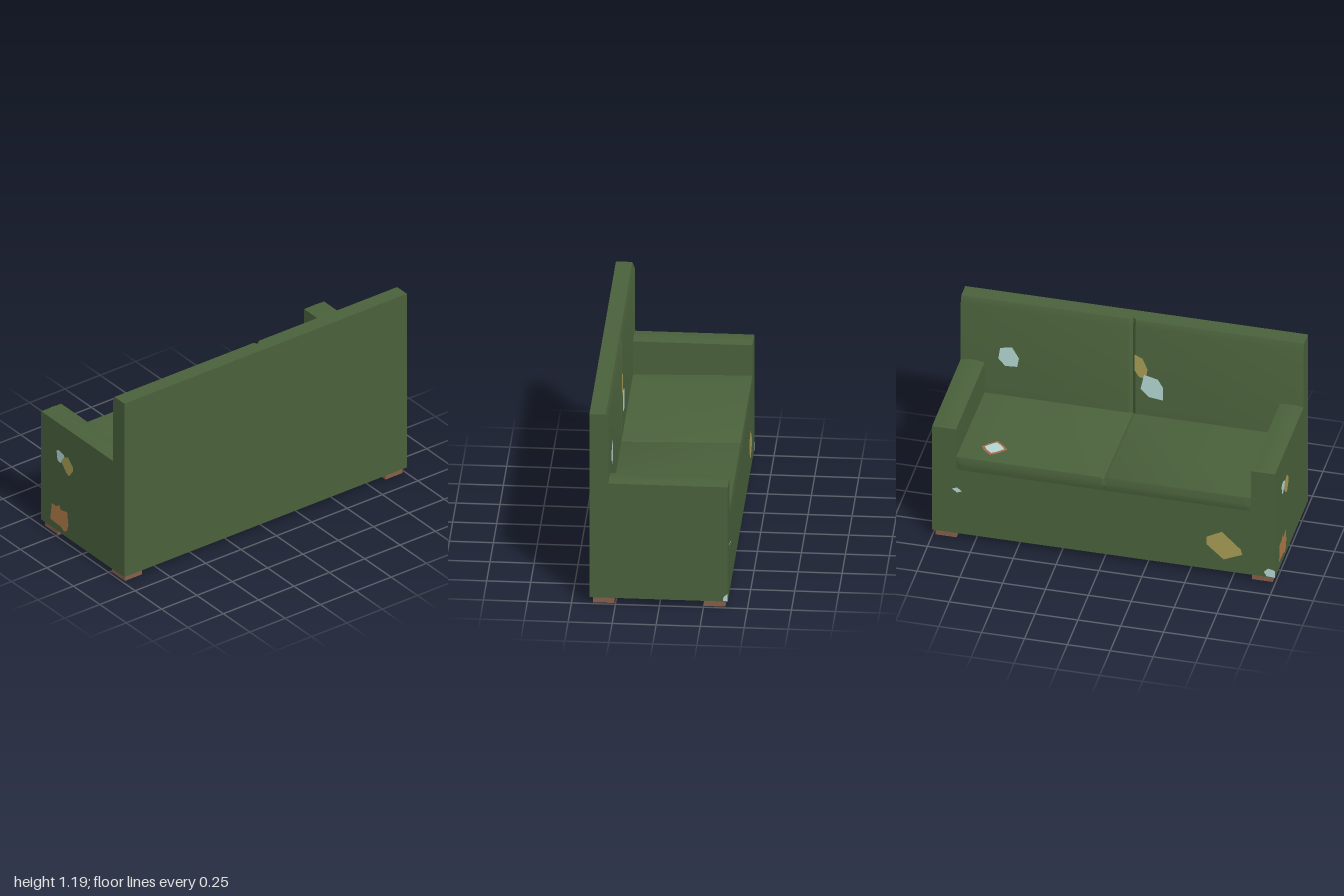
import * as THREE from 'three';
import { toCreasedNormals } from 'three/addons/utils/BufferGeometryUtils.js';

const material = (name, color) => {
  const m = new THREE.MeshStandardMaterial({ color });
  m.name = name;
  return m;
};

// Solid from convex (x, y) outlines, counter-clockwise, placed along z
function loft(stations, outlineAt) {
  const rings = stations.map(z => outlineAt(z).map(([x, y]) => [x, y, z]));
  const pos = [];
  const tri = (...corners) => corners.forEach(c => pos.push(...c));
  const n = rings[0].length;
  for (let i = 0; i < rings.length - 1; i++) {
    for (let j = 0; j < n; j++) {
      const k = (j + 1) % n;
      tri(rings[i][j], rings[i][k], rings[i + 1][k]);
      tri(rings[i][j], rings[i + 1][k], rings[i + 1][j]);
    }
  }
  const first = rings[0], last = rings[rings.length - 1];
  for (let j = 1; j < n - 1; j++) {
    tri(first[0], first[j + 1], first[j]);
    tri(last[0], last[j], last[j + 1]);
  }
  const g = new THREE.BufferGeometry();
  g.setAttribute('position', new THREE.Float32BufferAttribute(pos, 3));
  return toCreasedNormals(g, 0.5);
}

export function createModel() {
  const group = new THREE.Group();
  const green = material('greenFabric', 0x4a613b);
  const wood = material('brownWood', 0x865f49);
  const pale = material('palePatch', 0xb4d8d4);
  const ochre = material('ochrePatch', 0xa89c55);
  const orange = material('orangePatch', 0xb07a48);
  const rust = material('rustPatch', 0xa5694d);
  for (const m of [pale, ochre, orange, rust]) m.side = THREE.DoubleSide;

  const add = (name, geometry, mat) => {
    const mesh = new THREE.Mesh(geometry, mat);
    mesh.name = name;
    group.add(mesh);
    return mesh;
  };
  const front = -0.388, rear = 0.398, backFront = 0.29;

  // Base under the cushions
  add('base', new THREE.BoxGeometry(backFront - front, 0.44, 1.72)
    .translate((front + backFront) / 2, 0.26, 0), green);

  // Tall backrest with a bevelled top and a groove between its halves
  add('backrest', loft([-1, -0.02, 0, 0.02, 1], z => {
    const d = z === 0 ? 0.02 : 0;
    return [[backFront + d, 0.04], [rear, 0.04], [rear, 1.19],
      [0.305 + d, 1.19], [backFront + d, 1.15]];
  }), green);

  // Two seat cushions with a bulging front lip
  for (const s of [-1, 1]) {
    const stations = [0, 0.02, 0.83, 0.86].map(z => z * s).sort((a, b) => a - b);
    add('seatCushion', loft(stations, z => {
      const a = Math.abs(z);
      const lip = a > 0.85 ? 0.001 : 0.01;
      const dip = a < 0.01 ? 0.01 : 0;
      return [[front, 0.48], [0.31, 0.48], [0.31, 0.55 - dip],
        [front, 0.568 - dip], [front - lip, 0.522]];
    }), green);
  }

  // Armrests with softly crowned tops
  for (const s of [-1, 1]) {
    const stations = [0.86, 0.9, 0.93, 0.96, 1].map(z => z * s).sort((a, b) => a - b);
    add('armrest', loft(stations, z => {
      const top = 0.767 - 0.009 * (Math.abs(Math.abs(z) - 0.93) / 0.07) ** 2;
      return [[front, 0.04], [backFront, 0.04], [backFront, top],
        [front + 0.01, top], [front, 0.757]];
    }), green);
  }

  // Low square feet
  for (const x of [-0.313, 0.319]) {
    for (const z of [-0.922, 0.922]) {
      add('foot', new THREE.BoxGeometry(0.122, 0.04, 0.122).translate(x, 0.02, z), wood);
    }
  }

  // Fabric patches: flat outlines laid just above each surface
  const patch = (name, points, mat, place) => {
    const shape = new THREE.Shape(points.map(p => new THREE.Vector2(...p)));
    const g = new THREE.ShapeGeometry(shape);
    place(g);
    g.computeVertexNormals();
    add(name, g, mat);
  };
  const onSide = (z, lift = 0) => g => g.translate(0, 0, z + lift);
  // Points are given as (z, y) on faces looking towards -x
  const onFront = x => g => g.scale(-1, 1, 1).rotateY(-Math.PI / 2).translate(x, 0, 0);
  const flip = g => {
    const idx = g.index.array;
    for (let i = 0; i < idx.length; i += 3) [idx[i], idx[i + 1]] = [idx[i + 1], idx[i]];
  };
  const facing = x => g => { flip(g); onFront(x)(g); };

  // Side of the left-hand armrest
  patch('sidePatchPale', [[-0.24, 0.57], [-0.22, 0.585], [-0.17, 0.572], [-0.155, 0.545],
    [-0.205, 0.505], [-0.232, 0.512]], pale, onSide(1, 0.002));
  patch('sidePatchOchre', [[-0.195, 0.523], [-0.165, 0.56], [-0.13, 0.58], [-0.08, 0.535],
    [-0.08, 0.51], [-0.12, 0.458], [-0.145, 0.468]], ochre, onSide(1, 0.004));
  patch('sidePatchOrange', [[-0.3, 0.09], [-0.285, 0.2], [-0.24, 0.2], [-0.215, 0.222],
    [-0.2, 0.195], [-0.14, 0.21], [-0.128, 0.13], [-0.14, 0.085], [-0.17, 0.068],
    [-0.2, 0.085]], orange, onSide(1, 0.002));

  // Front panel
  patch('frontPatchOchre', [[-0.8, 0.205], [-0.69, 0.31], [-0.6, 0.26], [-0.6, 0.21],
    [-0.7, 0.12], [-0.81, 0.17]], ochre, facing(front - 0.002));
  patch('frontPatchSmall', [[0.825, 0.335], [0.855, 0.358], [0.885, 0.345], [0.855, 0.322]],
    pale, facing(front - 0.002));
  patch('cornerPatchFront', [[-1, 0.042], [-1, 0.09], [-0.96, 0.1], [-0.935, 0.075],
    [-0.95, 0.045]], pale, facing(front - 0.002));
  patch('cornerPatchSide', [[front, 0.042], [front, 0.09], [-0.365, 0.07], [-0.36, 0.045]],
    pale, onSide(-1, -0.002));

  // Backrest
  patch('backPatchPale', [[0.66, 0.82], [0.7, 0.89], [0.77, 0.875], [0.78, 0.8],
    [0.74, 0.755], [0.67, 0.76]], pale, facing(backFront - 0.002));
  patch('backPatchCentre', [[-0.18, 0.76], [-0.15, 0.81], [-0.07, 0.83], [-0.05, 0.73],
    [-0.1, 0.68], [-0.18, 0.67]], pale, facing(backFront - 0.003));
  patch('backPatchOchre', [[-0.09, 0.87], [-0.06, 0.94], [-0.015, 0.96], [-0.015, 0.85],
    [-0.04, 0.81], [-0.08, 0.8]], ochre, facing(backFront - 0.002));

  // Two-layer diamond on the seat, tilted with the cushion
  const onSeat = lift => g => g.rotateX(-Math.PI / 2).rotateZ(-0.0258)
    .translate(-0.25, 0.5644 + lift, -0.67);
  const diamond = r => [[-r, 0.1 * r], [-0.6 * r, -0.45 * r], [0, -r], [0.5 * r, -0.6 * r],
    [r, 0], [0.55 * r, 0.5 * r], [0, r], [-0.5 * r, 0.7 * r]];
  patch('seatPatchBorder', diamond(0.075), rust, onSeat(0.002));
  patch('seatPatchCentre', diamond(0.057), pale, onSeat(0.004));

  return group;
}
